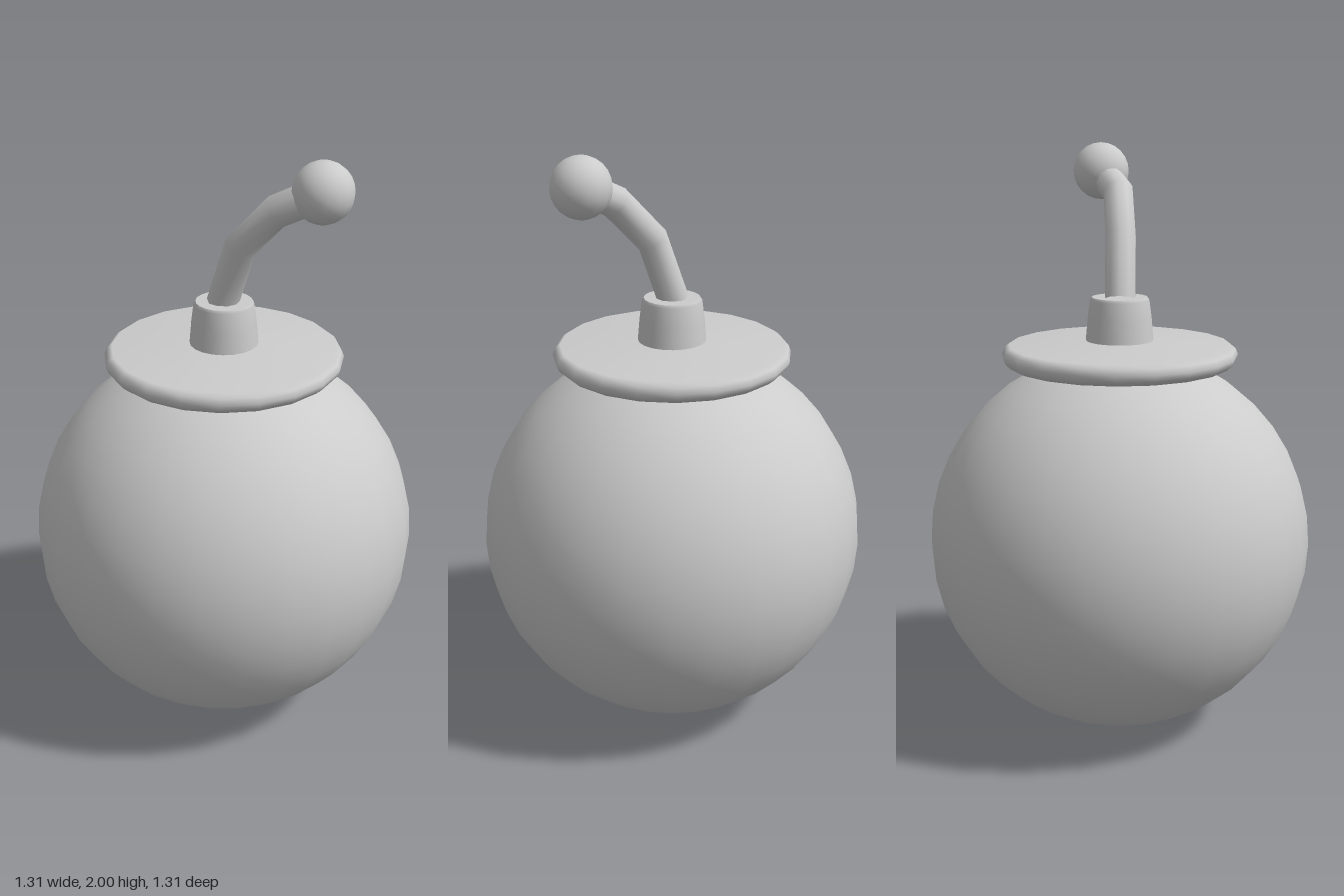
import * as THREE from 'three';

const grey = new THREE.MeshStandardMaterial({ color: 0xcccccc, side: THREE.DoubleSide });

function addPart(group, name, geometry, x = 0, y = 0, z = 0) {
  const mesh = new THREE.Mesh(geometry, grey);
  mesh.name = name;
  mesh.position.set(x, y, z);
  group.add(mesh);
  return mesh;
}

const lathe = (points, sides) =>
  new THREE.LatheGeometry(points.map(([r, y]) => new THREE.Vector2(r, y)), sides);

export function createModel() {
  const model = new THREE.Group();
  model.name = 'roundBomb';

  // Round body
  addPart(model, 'body', new THREE.SphereGeometry(0.657, 28, 20), 0, 0.662, 0);

  // Wide collar with a rounded rim and a slightly raised top
  addPart(model, 'collar', lathe([
    [0, 1.275], [0.375, 1.275], [0.392, 1.29], [0.4, 1.31],
    [0.392, 1.33], [0.375, 1.343], [0.11, 1.357],
  ], 20));

  // Tapered neck that holds the fuse, in two pieces to keep the top edge crisp
  addPart(model, 'neck', lathe([[0.116, 1.34], [0.108, 1.43], [0.1, 1.493], [0.094, 1.502]], 20));
  addPart(model, 'neckTop', lathe([[0.094, 1.502], [0, 1.502]], 20));

  // Bent fuse, with one ring at each control point
  const path = new THREE.CatmullRomCurve3([
    new THREE.Vector3(-0.005, 1.495, 0),
    new THREE.Vector3(0.063, 1.7, 0.022),
    new THREE.Vector3(0.188, 1.835, 0.05),
    new THREE.Vector3(0.33, 1.902, 0.03),
  ]);
  path.getUtoTmapping = (u) => u;
  addPart(model, 'fuse', new THREE.TubeGeometry(path, 3, 0.053, 10, false));

  // Ball at the tip of the fuse
  addPart(model, 'fuseTip', new THREE.SphereGeometry(0.098, 16, 12), 0.33, 1.902, 0.028);

  return model;
}
